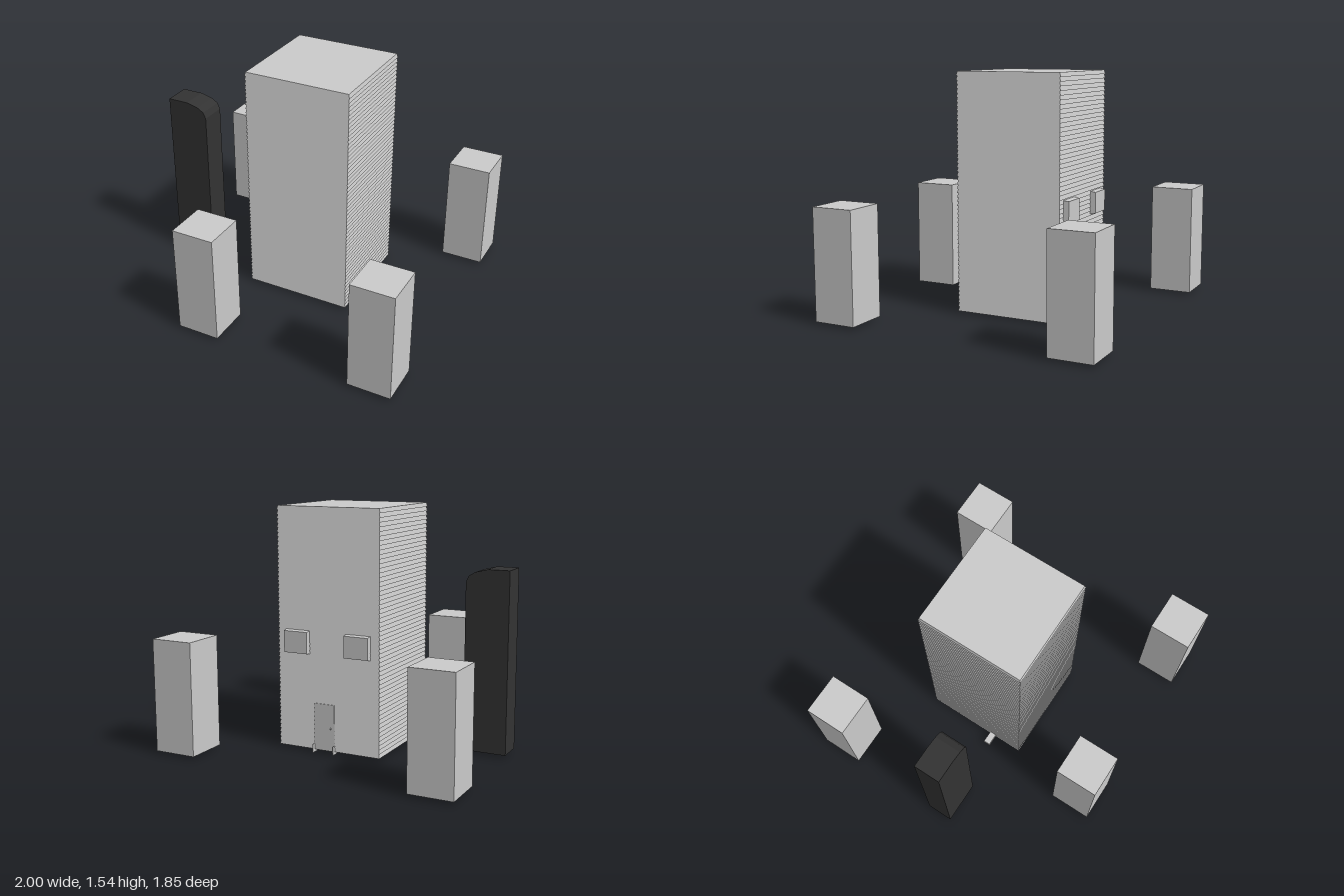
import * as THREE from 'three';

const grey = new THREE.MeshStandardMaterial({ color: 0xcccccc, flatShading: true });
const greyOpen = new THREE.MeshStandardMaterial({ color: 0xcccccc, flatShading: true, side: THREE.DoubleSide });
const dark = new THREE.MeshStandardMaterial({ color: 0x333333, flatShading: true });

const BASE = 0.0175;   // underside of everything but the door step
const BACK = -0.445;   // plane of the back wall

export function createModel() {
  const model = new THREE.Group();

  const add = (name, geometry, material = grey) => {
    const mesh = new THREE.Mesh(geometry, material);
    mesh.name = name;
    model.add(mesh);
    return mesh;
  };
  // Box given by its extents on each axis
  const box = (name, [x0, x1], [y0, y1], [z0, z1]) => {
    const mesh = add(name, new THREE.BoxGeometry(x1 - x0, y1 - y0, z1 - z0));
    mesh.position.set((x0 + x1) / 2, (y0 + y1) / 2, (z0 + z1) / 2);
    return mesh;
  };

  // Tower clad in overlapping boards: a four-sided lathe, open underneath
  const top = 1.545, boards = 56, half = 0.355, lip = 0.006;
  const pitch = (top - BASE) / boards;
  const profile = [];
  for (let i = 0; i < boards; i++) {
    const y = BASE + i * pitch;
    profile.push(new THREE.Vector2(half * Math.SQRT2, y));
    profile.push(new THREE.Vector2((half - lip) * Math.SQRT2, y + pitch));
  }
  profile.push(new THREE.Vector2(0, top));
  const tower = add('sidedTower', new THREE.LatheGeometry(profile, 4, Math.PI / 4), greyOpen);
  tower.position.set(0.035, 0, BACK + half);

  // Four free-standing blocks
  for (const [x, z] of [[-0.86, -0.785], [0.86, -0.785], [-0.32, 0.78], [0.86, 0.78]]) {
    box('outerBlock', [x - 0.14, x + 0.14], [BASE, 0.735], [z - 0.14, z + 0.14]);
  }

  // Dark slab with one rounded upper corner
  const outline = [[-0.99, BASE], [-0.71, BASE], [-0.71, 1.085], [-0.728, 1.125],
    [-0.77, 1.15], [-0.85, 1.17], [-0.99, 1.17]].map(([x, y]) => new THREE.Vector2(x, y));
  const slab = add('darkSlab',
    new THREE.ExtrudeGeometry(new THREE.Shape(outline), { depth: 0.175, bevelEnabled: false }), dark);
  slab.position.z = -0.04;

  // Back windows: shallow boxes tapering slightly outward
  for (const x of [-0.174, 0.248]) {
    const geometry = new THREE.BoxGeometry(0.168, 0.148, 0.035);
    const p = geometry.attributes.position;
    for (let i = 0; i < p.count; i++) {
      if (p.getZ(i) < 0) p.setXY(i, p.getX(i) * 0.96, p.getY(i) * 0.93);
    }
    geometry.computeVertexNormals();
    add('window', geometry).position.set(x, 0.701, BACK - 0.0145);
  }

  // Back door with its knob
  box('door', [-0.01, 0.135], [BASE, 0.318], [BACK, BACK - 0.004].reverse());
  const knob = add('doorKnob', new THREE.SphereGeometry(0.006, 8, 6));
  knob.position.set(0.015, 0.165, BACK - 0.006);

  // Door step: two thin cheeks over a downward-facing base
  for (const x of [-0.008, 0.133]) {
    box('stepCheek', [x - 0.002, x + 0.002], [0, 0.055], [-0.47, -0.415]);
  }
  const stepBase = add('stepBase', new THREE.PlaneGeometry(0.141, 0.055).rotateX(Math.PI / 2));
  stepBase.position.set(0.0625, 0, -0.4425);

  // Small side step running through the wall, with an upright inside
  box('sideStep', [-0.4, -0.235], [BASE, 0.05], [0.025, 0.07]);
  box('sideUpright', [-0.315, -0.235], [0.05, 0.16], [0.025, 0.07]);

  return model;
}
